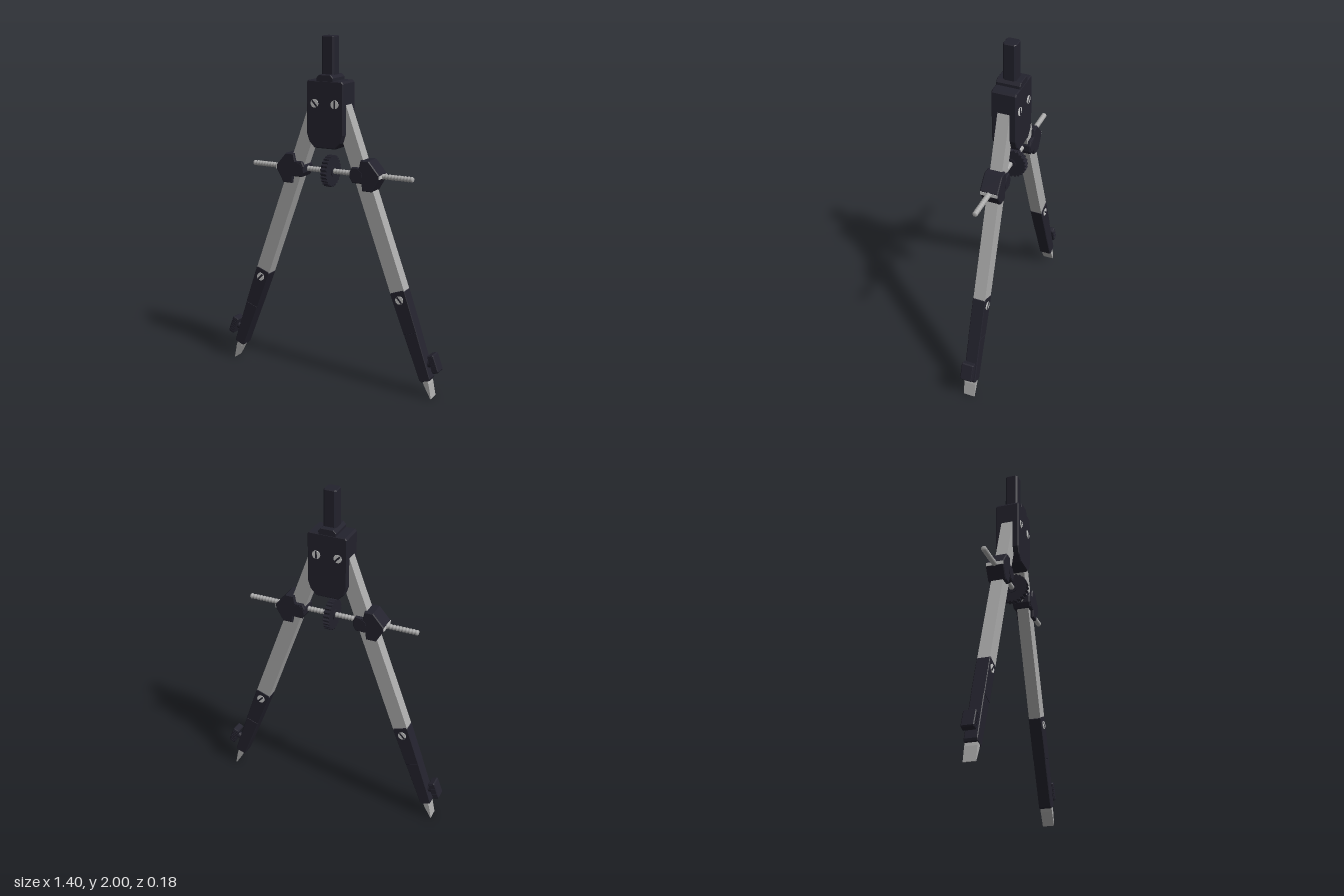
import * as THREE from 'three';

const mat = (name, color) => {
  const m = new THREE.MeshStandardMaterial({ color });
  m.name = name;
  return m;
};

export function createModel() {
  const dark = mat('dark plastic', 0x23222d);
  const steel = mat('brushed steel', 0xaaaaaa);
  const bright = mat('bright screw metal', 0xc6c6c6);
  const model = new THREE.Group();
  model.name = 'drawingCompass';

  const add = (parent, name, geometry, material, x = 0, y = 0, z = 0) => {
    const mesh = new THREE.Mesh(geometry, material);
    mesh.name = name;
    mesh.position.set(x, y, z);
    parent.add(mesh);
    return mesh;
  };

  // Prism with chamfered rims, outline in x/y and centred on z
  const prism = (points, depth, bevel = 0.006) => {
    const shape = new THREE.Shape(points.map(([x, y]) => new THREE.Vector2(x, y)));
    const g = new THREE.ExtrudeGeometry(shape, {
      depth: depth - 2 * bevel, bevelEnabled: bevel > 0, bevelThickness: bevel,
      bevelSize: bevel, bevelOffset: -bevel, bevelSegments: 1,
    });
    return g.translate(0, 0, bevel - depth / 2);
  };
  const mirrored = (half) => [...half, ...half.slice().reverse().map(([x, y]) => [-x, y])];

  // Slotted screw head on the front or back (s = 1 or -1)
  const screw = (parent, x, y, z, s, angle) => {
    const g = new THREE.Group();
    g.name = 'slottedScrew';
    g.position.set(x, y, z * s);
    add(g, 'screwHead', new THREE.CylinderGeometry(0.024, 0.024, 0.008, 20).rotateX(Math.PI / 2), bright);
    add(g, 'screwSlot', new THREE.BoxGeometry(0.01, 0.044, 0.002), dark, 0, 0, 0.004 * s).rotation.z = angle;
    parent.add(g);
  };

  // Grip: square bar with cut corners
  const c = 0.01, h = 0.038;
  const grip = prism([[h, -h + c], [h, h - c], [h - c, h], [-h + c, h],
    [-h, h - c], [-h, -h + c], [-h + c, -h], [h - c, -h]], 0.23, 0.004);
  add(model, 'grip', grip.rotateX(Math.PI / 2), dark, 0, 1.885);

  // Collar and hinge head
  add(model, 'collar', prism(mirrored([[0.052, 1.74], [0.052, 1.773], [0.036, 1.79]]), 0.137, 0.003), dark);
  add(model, 'hingeHead', prism(mirrored([[0.066, 1.38], [0.1, 1.415], [0.115, 1.46],
    [0.115, 1.745], [0.105, 1.757]]), 0.14, 0.005), dark);
  for (const s of [1, -1]) {
    screw(model, -0.063, 1.63, 0.07, s, 0.75);
    screw(model, 0.063, 1.63, 0.07, s, 0);
  }

  // Legs: the second one is the first turned half a circle
  const tilt = THREE.MathUtils.degToRad(20);
  for (const side of [1, -1]) {
    const half = new THREE.Group();
    half.name = side > 0 ? 'leftHalf' : 'rightHalf';
    half.rotation.y = side > 0 ? 0 : Math.PI;
    model.add(half);

    const leg = new THREE.Group();
    leg.name = 'leg';
    leg.position.set(0.624, 0.1, 0);
    leg.rotation.z = tilt;
    half.add(leg);

    add(leg, 'steelBar', new THREE.BoxGeometry(0.088, 1.12, 0.07), steel, 0, 1.06);
    add(leg, 'upperSheath', prism(mirrored([[0.041, 0.285], [0.046, 0.525], [0.04, 0.535]]), 0.075, 0.003), dark);
    add(leg, 'lowerSheath', prism(mirrored([[0.027, 0], [0.034, 0.012], [0.041, 0.288]]), 0.073, 0.004), dark);
    add(leg, 'bladeTip', prism([[-0.015, 0.02], [-0.015, -0.02], [-0.002, -0.104],
      [0.002, -0.104], [0.015, -0.02], [0.015, 0.02]], 0.068, 0), steel);
    for (const s of [1, -1]) screw(leg, 0, 0.485, 0.0375, s, 0.75 - tilt);

    // Clamping thumb screw on the outer edge, with ribbed rim
    add(leg, 'thumbScrewStem', new THREE.CylinderGeometry(0.02, 0.02, 0.05, 12).rotateZ(Math.PI / 2), dark, 0.045, 0.089);
    add(leg, 'thumbScrewKnob', prism([[0.064, 0.036], [0.092, 0.036], [0.098, 0.042], [0.098, 0.136],
      [0.092, 0.142], [0.064, 0.142], [0.058, 0.136], [0.058, 0.042]], 0.07, 0.004), dark);
    for (let i = -3; i <= 3; i++) {
      add(leg, 'knobRib', new THREE.BoxGeometry(0.03, 0.006, 0.074), dark, 0.078, 0.089 + i * 0.013);
    }

    // Pivot block where the spindle crosses the leg
    add(half, 'pivotBlock', prism([[0.328, 1.232], [0.328, 1.256], [0.264, 1.33], [0.214, 1.33],
      [0.205, 1.287], [0.16, 1.287], [0.147, 1.26], [0.147, 1.224], [0.162, 1.198],
      [0.22, 1.198], [0.226, 1.157], [0.284, 1.157]], 0.105, 0.005), dark);
    add(half, 'pivotPlate', new THREE.BoxGeometry(0.008, 0.02, 0.1), bright, 0.327, 1.242);
    for (const s of [1, -1]) {
      add(half, 'pivotBoss', new THREE.CylinderGeometry(0.036, 0.036, 0.006, 20).rotateX(Math.PI / 2),
        dark, 0.19, 1.242, 0.052 * s);
    }
  }

  // Threaded spindle
  const thread = [new THREE.Vector2(0, -0.513)];
  const turns = 54, step = 1.026 / turns;
  for (let i = 0; i < turns; i++) {
    const y = -0.513 + i * step;
    thread.push(new THREE.Vector2(0.0115, y), new THREE.Vector2(0.0155, y + step * 0.3),
      new THREE.Vector2(0.0155, y + step * 0.7));
  }
  thread.push(new THREE.Vector2(0.0115, 0.513), new THREE.Vector2(0, 0.513));
  add(model, 'threadedSpindle', new THREE.LatheGeometry(thread, 14).rotateZ(Math.PI / 2), steel, 0, 1.242);

  // Knurled adjusting wheel
  const teeth = 24, rim = [];
  for (let i = 0; i < teeth * 4; i++) {
    const a = (i / (teeth * 4)) * Math.PI * 2;
    const r = i % 4 < 2 ? 0.091 : 0.083;
    rim.push([Math.cos(a) * r, Math.sin(a) * r]);
  }
  add(model, 'adjustingWheel', prism(rim, 0.036, 0).rotateY(Math.PI / 2), dark, 0, 1.242);
  add(model, 'wheelHub', new THREE.CylinderGeometry(0.03, 0.03, 0.044, 18).rotateZ(Math.PI / 2), dark, 0, 1.242);

  return model;
}
